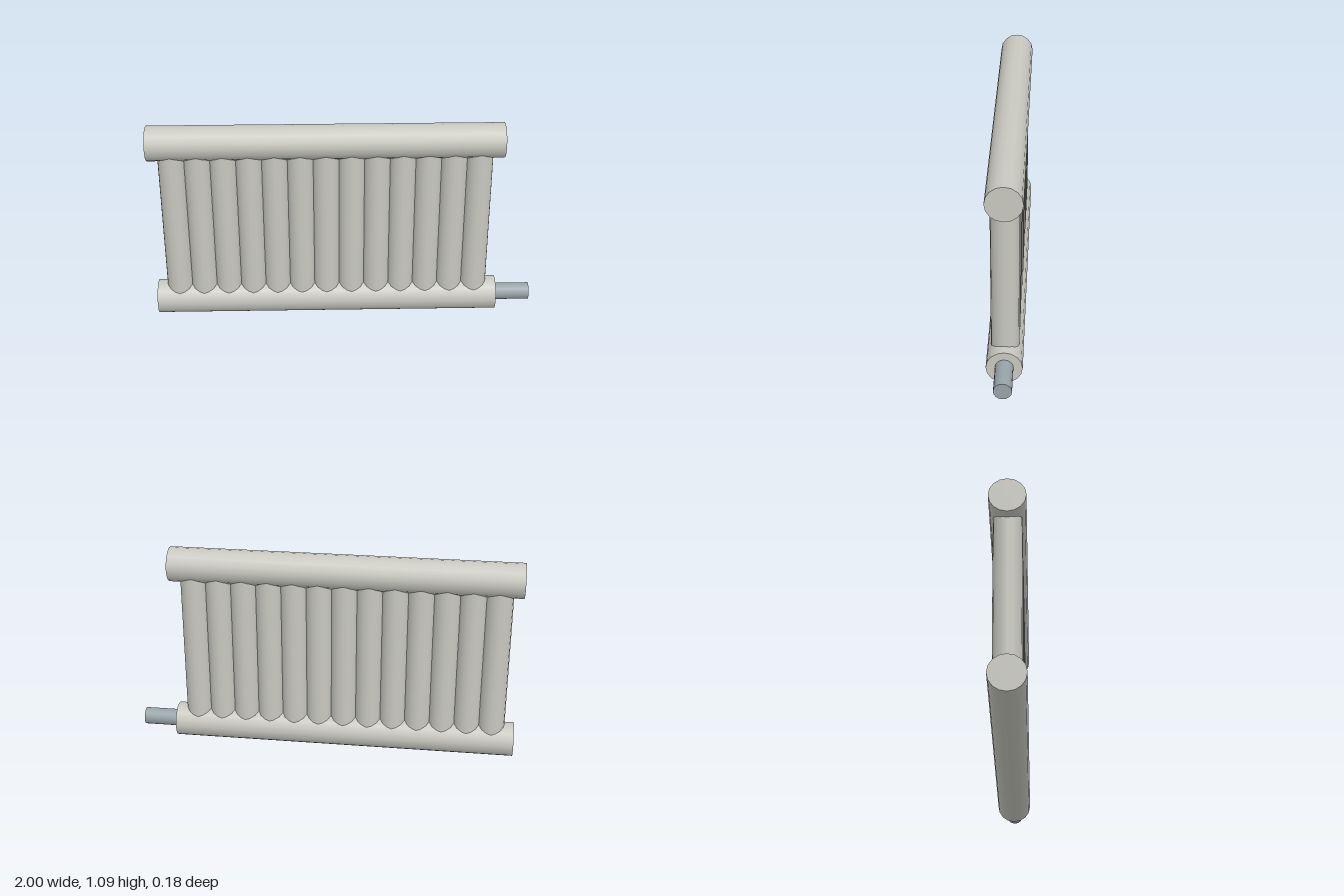
import * as THREE from 'three';

export function createModel() {
  const group = new THREE.Group();
  const enamel = new THREE.MeshStandardMaterial({ color: 0xc8c8c0 });
  enamel.name = 'warm grey enamel';
  const steel = new THREE.MeshStandardMaterial({ color: 0x98a4a8 });
  steel.name = 'blue grey steel';

  function add(name, geometry, material, x, y) {
    const mesh = new THREE.Mesh(geometry, material);
    mesh.name = name;
    mesh.position.set(x, y, 0);
    group.add(mesh);
  }

  // Cylinder lying along x between two ends
  function pipe(name, radius, sides, x0, x1, y, material) {
    const geometry = new THREE.CylinderGeometry(radius, radius, x1 - x0, sides);
    geometry.rotateZ(-Math.PI / 2);
    add(name, geometry, material, (x0 + x1) / 2, y);
  }

  // Upper and lower headers
  const low = 0.09, high = 1.0;
  pipe('lowerHeader', 0.09, 16, -1, 0.815, low, enamel);
  pipe('upperHeader', 0.09, 16, -1, 0.815, high, enamel);

  // Row of overlapping upright columns
  const count = 13, first = -0.88, last = 0.694;
  const column = new THREE.CylinderGeometry(0.07, 0.07, high - low, 16);
  for (let i = 0; i < count; i++) {
    const x = first + (last - first) * i / (count - 1);
    add('column' + (i + 1), column, enamel, x, (low + high) / 2);
  }

  // Inlet pipe at the lower end
  pipe('inletPipe', 0.045, 16, 0.8, 1, low + 0.003, steel);

  return group;
}
